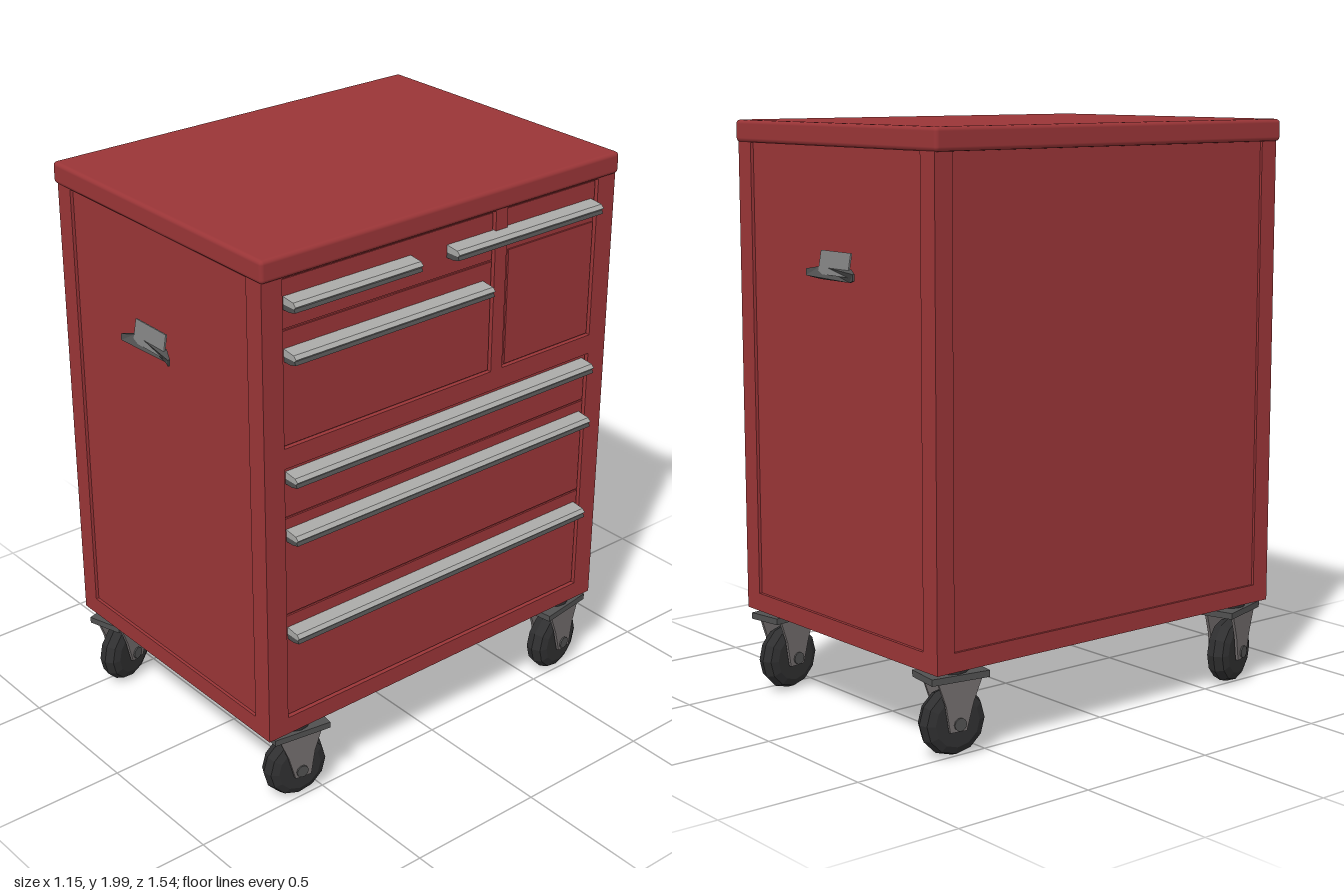
import * as THREE from 'three';
import { RoundedBoxGeometry } from 'three/addons/geometries/RoundedBoxGeometry.js';

const mat = (name, color, extra = {}) => {
  const m = new THREE.MeshStandardMaterial({ color, ...extra });
  m.name = name;
  return m;
};

export function createModel() {
  const red = mat('red paint', 0x9a3537);
  const steel = mat('light steel', 0xa9a9a7);
  const darkSteel = mat('dark steel', 0x505050);
  const bracket = mat('bracket grey', 0x716c6c);
  const rubber = mat('black rubber', 0x2f2f30, { flatShading: true });
  const handleGrey = mat('handle grey', 0x828282, { side: THREE.DoubleSide });

  const model = new THREE.Group();
  model.name = 'toolCabinet';

  const add = (parent, name, geometry, material, x = 0, y = 0, z = 0) => {
    const mesh = new THREE.Mesh(geometry, material);
    mesh.name = name;
    mesh.position.set(x, y, z);
    parent.add(mesh);
    return mesh;
  };
  const box = (parent, name, material, x0, x1, y0, y1, z0, z1) =>
    add(parent, name, new THREE.BoxGeometry(x1 - x0, y1 - y0, z1 - z0), material,
      (x0 + x1) / 2, (y0 + y1) / 2, (z0 + z1) / 2);
  const rect = (Type, u0, u1, v0, v1) => {
    const p = new Type();
    p.moveTo(u0, v0).lineTo(u1, v0).lineTo(u1, v1).lineTo(u0, v1).closePath();
    return p;
  };

  // Cabinet shell and lid
  box(model, 'cabinetCore', red, -0.553, 0.508, 0.315, 1.94, -0.727, 0.727);
  add(model, 'lid', new RoundedBoxGeometry(1.112, 0.075, 1.49, 2, 0.014), red, -0.022, 1.9625, 0);

  // Raised frame with recessed openings on one face
  const frame = (name, u0, u1, holes, depth, turn, x, z) => {
    const shape = rect(THREE.Shape, u0, u1, 0.307, 1.94);
    holes.forEach(h => shape.holes.push(rect(THREE.Path, ...h)));
    const geo = new THREE.ExtrudeGeometry(shape, { depth, bevelEnabled: false });
    add(model, name, geo, red, x, 0, z).rotation.y = turn;
  };
  const side = [[-0.49, 0.45, 0.37, 1.925]];
  frame('frontFrame', -0.562, 0.524, side, 0.013, 0, 0, 0.725);
  frame('backFrame', -0.524, 0.562, [[-0.45, 0.49, 0.37, 1.925]], 0.013, Math.PI, 0, -0.725);
  frame('plainSideFrame', -0.738, 0.738, [[-0.67, 0.67, 0.37, 1.925]], 0.012, -Math.PI / 2, -0.55, 0);
  frame('drawerSideFrame', -0.738, 0.738, [
    [-0.66, 0.2, 1.36, 1.922],
    [0.25, 0.66, 1.36, 1.922],
    [-0.66, 0.66, 0.37, 1.29],
  ], 0.018, Math.PI / 2, 0.506, 0);
  box(model, 'bottomPan', red, -0.56, 0.522, 0.306, 0.33, -0.736, 0.736);

  // Drawer faces: z range, y range
  [
    [-0.195, 0.655, 1.755, 1.915], [-0.195, 0.655, 1.365, 1.748],
    [-0.655, -0.255, 1.79, 1.915], [-0.655, -0.27, 1.365, 1.77],
    [-0.655, 0.655, 1.115, 1.285], [-0.655, 0.655, 0.76, 1.108], [-0.655, 0.655, 0.375, 0.753],
  ].forEach(([z0, z1, y0, y1], i) =>
    box(model, `drawerFace${i + 1}`, red, 0.5, 0.514, y0, y1, z0, z1));

  // Full-width pulls: light sloping cap above a dark lip
  const capShape = new THREE.Shape([[0.505, -0.004], [0.566, -0.004], [0.574, 0.004], [0.562, 0.015], [0.505, 0.022]]
    .map(p => new THREE.Vector2(...p)));
  const lipShape = new THREE.Shape([[0.505, -0.022], [0.545, -0.022], [0.572, -0.015], [0.566, -0.004], [0.505, -0.004]]
    .map(p => new THREE.Vector2(...p)));
  [
    [1.84, 0.15, 0.65], [1.835, -0.64, 0], [1.67, -0.16, 0.65],
    [1.255, -0.64, 0.65], [1.05, -0.64, 0.65], [0.69, -0.64, 0.65],
  ].forEach(([y, z0, z1], i) => {
    const pull = new THREE.Group();
    pull.name = `drawerPull${i + 1}`;
    pull.position.set(0, y, z0);
    const opts = { depth: z1 - z0, bevelEnabled: false };
    add(pull, 'pullCap', new THREE.ExtrudeGeometry(capShape, opts), steel);
    add(pull, 'pullLip', new THREE.ExtrudeGeometry(lipShape, opts), darkSteel);
    model.add(pull);
  });

  // Lift handles on the front and back, with flared ends
  const wingShape = new THREE.Shape([[-0.13, 0], [-0.08, -0.01], [0.08, -0.01], [0.13, 0], [0.13, 0.022], [0.08, 0.032], [-0.08, 0.032], [-0.13, 0.022]]
    .map(p => new THREE.Vector2(...p)));
  for (const s of [1, -1]) {
    const handle = new THREE.Group();
    handle.name = s > 0 ? 'frontLiftHandle' : 'backLiftHandle';
    handle.position.set(-0.05, 1.51, 0.74 * s);
    const grip = new THREE.ExtrudeGeometry(wingShape, { depth: 0.008, bevelEnabled: false });
    const p = grip.attributes.position;
    for (let i = 0; i < p.count; i++) {
      const flare = Math.max(0, Math.abs(p.getX(i)) - 0.08) / 0.05;
      p.setZ(i, p.getZ(i) + 0.024 * flare);
    }
    grip.computeVertexNormals();
    const bar = add(handle, 'grip', grip, darkSteel);
    bar.rotation.y = s > 0 ? 0 : Math.PI;
    const plate = add(handle, 'gripPlate', new THREE.BoxGeometry(0.165, 0.078, 0.006), handleGrey, 0, 0.045, 0.008 * s);
    plate.rotation.x = -0.18 * s;
    model.add(handle);
  }

  // Swivel casters: x, z and swivel angle
  const tyre = new THREE.LatheGeometry([[0.02, -0.042], [0.08, -0.042], [0.105, -0.03], [0.116, 0], [0.105, 0.03], [0.08, 0.042], [0.02, 0.042]]
    .map(p => new THREE.Vector2(...p)), 12).rotateZ(Math.PI / 2);
  const cheekShape = new THREE.Shape([[-0.085, 0.275], [0.08, 0.275], [0.05, 0.19], [0.035, 0.1], [-0.025, 0.1], [-0.05, 0.19]]
    .map(p => new THREE.Vector2(...p)));
  const cheek = new THREE.ExtrudeGeometry(cheekShape, { depth: 0.01, bevelEnabled: false })
    .translate(0, 0, -0.005).rotateY(Math.PI / 2);
  [[-0.48, 0.635, 0.3], [0.46, 0.59, -0.15], [-0.48, -0.62, -0.15], [0.46, -0.62, 0.15]]
    .forEach(([x, z, yaw], i) => {
      const caster = new THREE.Group();
      caster.name = `caster${i + 1}`;
      caster.position.set(x, 0, z);
      caster.rotation.y = yaw;
      add(caster, 'swivelPlate', new THREE.BoxGeometry(0.13, 0.022, 0.21), darkSteel, 0, 0.277, 0);
      add(caster, 'swivelStem', new THREE.CylinderGeometry(0.055, 0.055, 0.035, 12), rubber, 0, 0.298, 0);
      for (const s of [1, -1]) add(caster, 'forkCheek', cheek, bracket, 0.052 * s);
      add(caster, 'wheel', tyre, rubber, 0, 0.124, 0);
      add(caster, 'axle', new THREE.CylinderGeometry(0.022, 0.022, 0.125, 10).rotateZ(Math.PI / 2), darkSteel, 0, 0.124, 0);
      model.add(caster);
    });

  return model;
}
